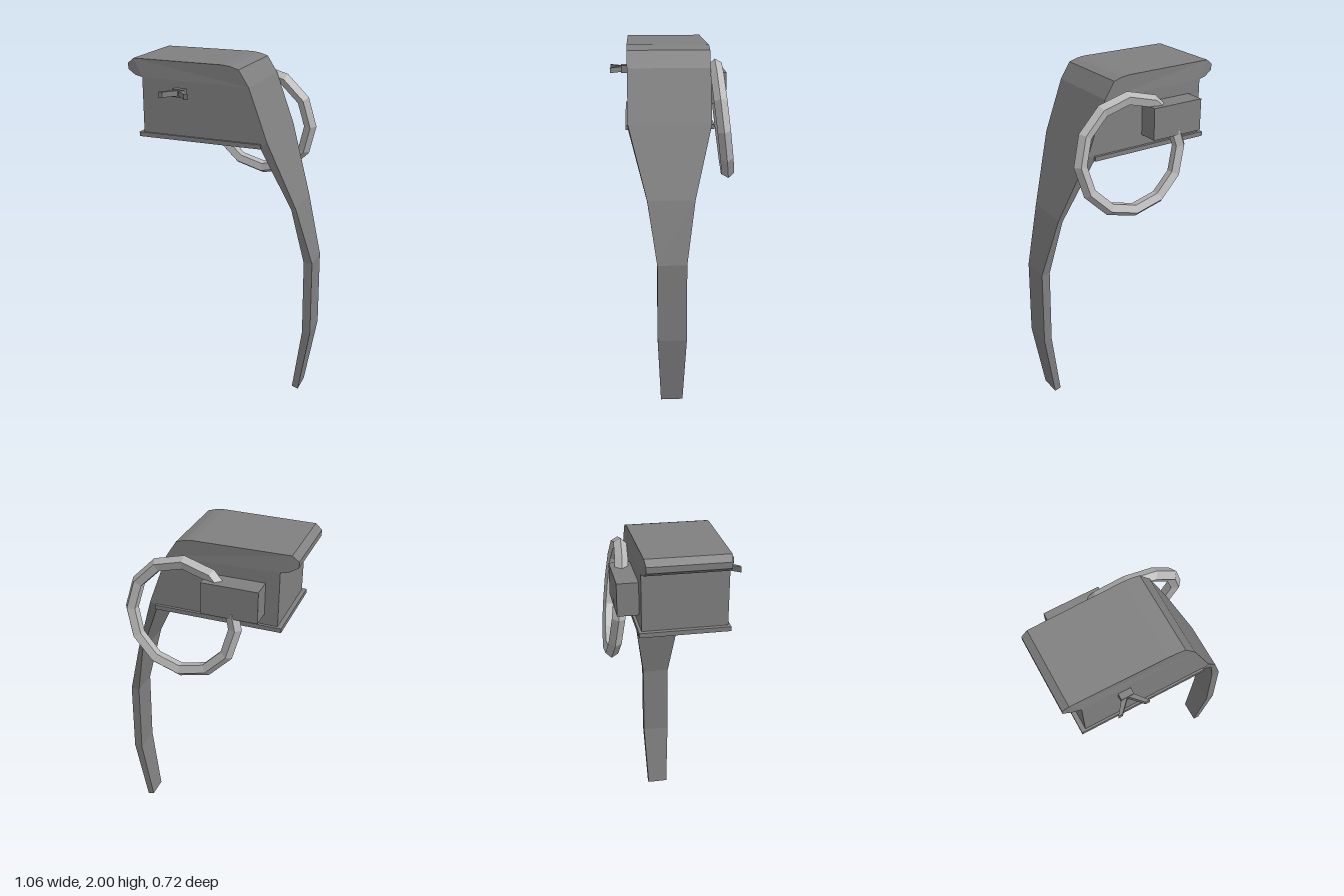
import * as THREE from 'three';

const MID_Z = 0.025;

export function createModel() {
  const group = new THREE.Group();
  const steel = new THREE.MeshStandardMaterial({ color: 0x808080, flatShading: true });
  steel.name = 'dark steel';
  const bright = new THREE.MeshStandardMaterial({ color: 0xb8b8b8, flatShading: true });
  bright.name = 'bright steel';

  const add = (name, geometry, material = steel) => {
    const mesh = new THREE.Mesh(geometry, material);
    mesh.name = name;
    group.add(mesh);
    return mesh;
  };
  // box given by its minimum and maximum corners
  const box = (name, a, b) => {
    const g = new THREE.BoxGeometry(b[0] - a[0], b[1] - a[1], b[2] - a[2]);
    g.translate((a[0] + b[0]) / 2, (a[1] + b[1]) / 2, (a[2] + b[2]) / 2);
    return add(name, g);
  };
  const extrude = (points, depth) => new THREE.ExtrudeGeometry(
    new THREE.Shape(points.map(p => new THREE.Vector2(...p))), { depth, bevelEnabled: false });

  // housing with rounded shoulder and overhanging lip
  const housing = extrude([
    [-0.445, 1.58], [0.25, 1.57], [0.29, 1.6], [0.183, 1.89], [0.125, 1.98],
    [0.075, 1.995], [0.03, 2], [-0.5, 2], [-0.537, 1.97], [-0.537, 1.937],
    [-0.49, 1.908], [-0.445, 1.9],
  ], 0.46);
  housing.translate(0, 0, -0.205);
  const hp = housing.attributes.position;
  for (let i = 0; i < hp.count; i++) {
    // the lip narrows slightly towards its edge
    const inset = Math.max(0, -0.445 - hp.getX(i)) * 0.14;
    hp.setZ(i, hp.getZ(i) - Math.sign(hp.getZ(i)) * inset);
  }
  housing.computeVertexNormals();
  add('housing', housing);
  box('basePlate', [-0.47, 1.565, -0.221], [0.256, 1.59, 0.267]);
  box('pinBlock', [-0.37, 1.65, -0.32], [-0.055, 1.83, -0.2]);

  // curved lever: [outer x, outer y, inner x, inner y, half width]
  const stations = [
    [0.29, 1.6, 0.25, 1.57, 0.23],
    [0.43, 1.21, 0.405, 1.2, 0.132],
    [0.523, 0.868, 0.473, 0.866, 0.082],
    [0.527, 0.415, 0.478, 0.413, 0.082],
    [0.458, 0, 0.42, 0.01, 0.063],
  ];
  const n = stations.length - 1;
  const lever = new THREE.BoxGeometry(1, 1, 1, 1, n, 1);
  const lp = lever.attributes.position;
  for (let i = 0; i < lp.count; i++) {
    const s = stations[Math.round((0.5 - lp.getY(i)) * n)];
    const k = lp.getX(i) > 0 ? 0 : 2;
    lp.setXYZ(i, s[k], s[k + 1], MID_Z + Math.sign(lp.getZ(i)) * s[4]);
  }
  lever.computeVertexNormals();
  add('lever', lever);

  // safety pin end: stem and two splayed prongs
  box('pinStem', [-0.248, 1.813, 0.25], [-0.178, 1.856, 0.29]);
  for (const side of [-1, 1]) {
    const pts = [[0, 0.287], [0.035, 0.287], [0.088, 0.355], [0.064, 0.355]]
      .map(([x, z]) => [-0.213 + side * x, -z]);
    if (side < 0) pts.reverse();
    const g = extrude(pts, 0.03);
    g.rotateX(-Math.PI / 2); // shape y becomes -z
    g.translate(0, 1.82, 0);
    add(side < 0 ? 'rightProng' : 'leftProng', g);
  }

  // pull ring, five-sided wire, slightly tilted
  const ring = add('pullRing', new THREE.TorusGeometry(0.31, 0.038, 5, 12), bright);
  ring.position.set(0.067, 1.58, -0.28);
  ring.rotation.set(0.125, -0.06, 0);

  return group;
}
